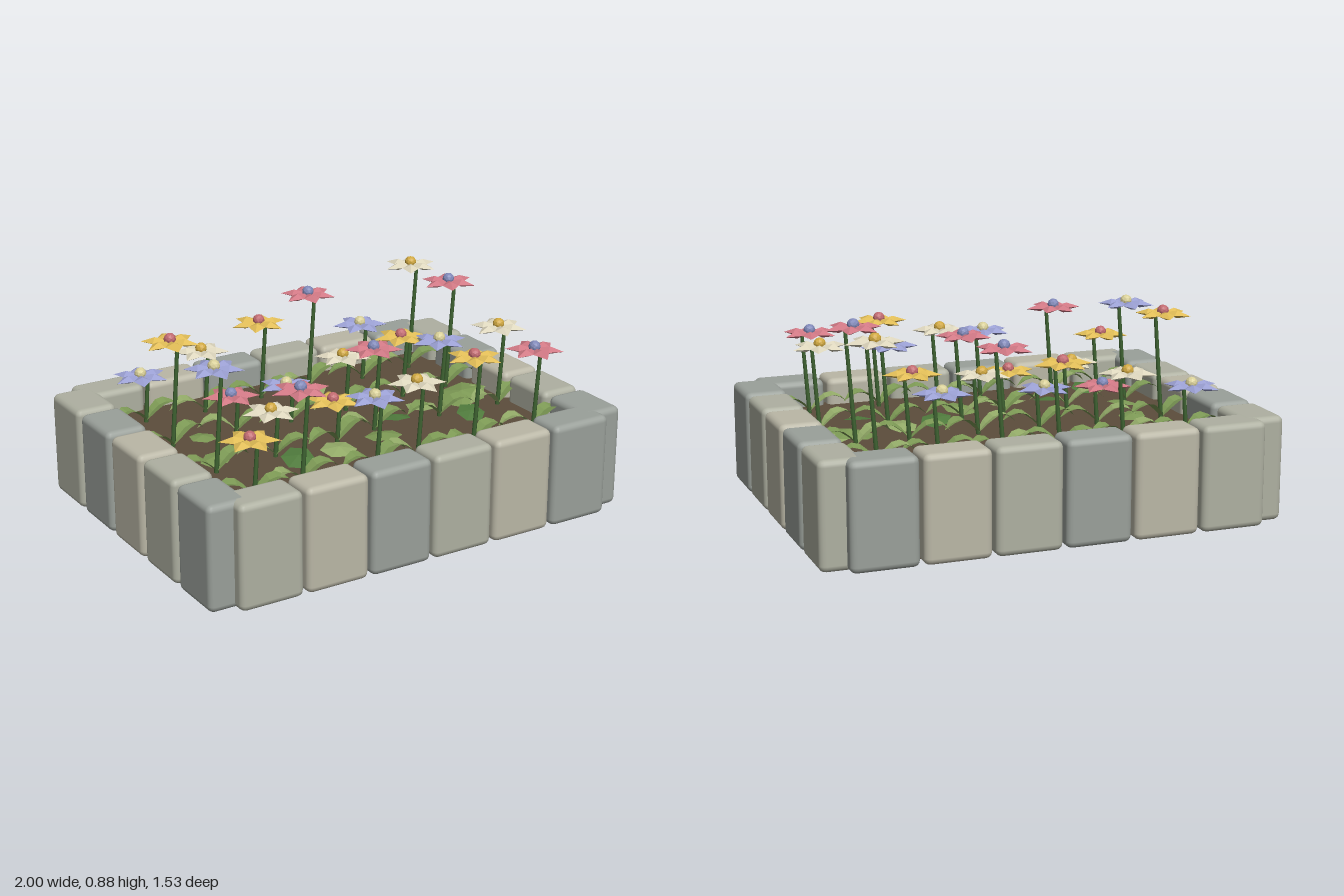
import * as THREE from 'three';
import { RoundedBoxGeometry } from 'three/addons/geometries/RoundedBoxGeometry.js';
import { mergeGeometries } from 'three/addons/utils/BufferGeometryUtils.js';

const mat = (color, opts = {}) => new THREE.MeshStandardMaterial({ color, ...opts });
const flat = (color) => mat(color, { flatShading: true });
const SOIL_TOP = 0.34;

// Flowers: [x, z, petal height], row by row from the back
const ROWS = [
  { colors: 'bwypbw', spots: [[-0.69, -0.46, 0.555], [-0.41, -0.43, 0.625], [-0.11, -0.45, 0.695], [0.15, -0.46, 0.78], [0.4, -0.42, 0.605], [0.68, -0.43, 0.84]] },
  { colors: 'ypbwyp', spots: [[-0.7, -0.15, 0.805], [-0.42, -0.15, 0.51], [-0.16, -0.13, 0.515], [0.12, -0.12, 0.595], [0.43, -0.13, 0.625], [0.68, -0.13, 0.84]] },
  { colors: 'bwypbw', spots: [[-0.68, 0.19, 0.79], [-0.41, 0.17, 0.545], [-0.11, 0.17, 0.53], [0.11, 0.14, 0.71], [0.44, 0.15, 0.69], [0.74, 0.17, 0.705]] },
  { colors: 'ypbwyp', spots: [[-0.69, 0.49, 0.59], [-0.44, 0.46, 0.74], [-0.11, 0.49, 0.65], [0.1, 0.48, 0.67], [0.38, 0.49, 0.73], [0.7, 0.48, 0.7]] },
];

// Broad ground leaves: [x, z, size, turn]
const BROAD = [
  [-0.63, 0.1, 0.075, 0.3], [-0.34, 0.27, 0.085, 1], [-0.15, 0.28, 0.085, 0.2], [0.09, 0.25, 0.085, 2],
  [0.25, 0.1, 0.08, 0.7], [0.42, 0.05, 0.08, 1.6], [0.66, 0.02, 0.13, 0.5], [0.56, 0.23, 0.075, 1.2],
  [0.12, -0.37, 0.07, 0.4], [-0.57, -0.13, 0.07, 0.9], [-0.58, 0.42, 0.07, 1.4], [0.74, -0.02, 0.07, 2.2],
];

// Arched leaf along +x, folded along its midrib
function leafGeometry(length, width, arch) {
  const pos = [], index = [], n = 5;
  for (let i = 0; i <= n; i++) {
    const t = i / n;
    const w = width * Math.pow(Math.sin(Math.PI * (0.08 + 0.92 * t)), 0.8);
    const y = arch * Math.sin(Math.PI * 0.85 * t);
    for (const s of [-1, 0, 1]) pos.push(length * t, y + (s ? 0.25 * w : 0), s * w);
  }
  for (let i = 0; i < n; i++) {
    for (let j = 0; j < 2; j++) {
      const a = i * 3 + j, b = a + 3;
      index.push(a, a + 1, b, a + 1, b + 1, b);
    }
  }
  const g = new THREE.BufferGeometry();
  g.setAttribute('position', new THREE.Float32BufferAttribute(pos, 3));
  g.setIndex(index);
  g.computeVertexNormals();
  return g;
}

// Six ridged petals around the centre
function petalGeometry() {
  const petals = [];
  for (let k = 0; k < 6; k++) {
    const p = new THREE.OctahedronGeometry(1).scale(0.062, 0.017, 0.037);
    p.rotateZ(-0.08).translate(0.063, 0, 0).rotateY(k * Math.PI / 3);
    petals.push(p);
  }
  return mergeGeometries(petals);
}

export function createModel() {
  const model = new THREE.Group();
  const add = (parent, name, geo, material, x = 0, y = 0, z = 0) => {
    const m = new THREE.Mesh(geo, material);
    m.name = name;
    m.position.set(x, y, z);
    parent.add(m);
    return m;
  };
  const group = (name, parent = model) => {
    const g = new THREE.Group();
    g.name = name;
    parent.add(g);
    return g;
  };

  // Soil bed
  add(model, 'soil', new THREE.BoxGeometry(1.75, SOIL_TOP, 1.29), mat(0x5c4d3c), 0, SOIL_TOP / 2, 0);

  // Stone border
  const border = group('stoneBorder');
  const stones = [0xaeb0a1, 0xbab7a6, 0x9aa09a].map((c) => mat(c));
  const longStone = new RoundedBoxGeometry(0.284, 0.45, 0.172, 2, 0.028);
  const sideStone = new RoundedBoxGeometry(0.186, 0.45, 0.266, 2, 0.028);
  for (const s of [-1, 1]) {
    for (let i = 0; i < 6; i++) {
      add(border, s > 0 ? 'frontStone' : 'backStone', longStone, stones[i % 3], (i - 2.5) * 0.299, 0.231, s * 0.679);
    }
    for (let i = 0; i < 5; i++) {
      add(border, s > 0 ? 'leftStone' : 'rightStone', sideStone, stones[(2 * i) % 3], s * 0.905, 0.232, (i - 2) * 0.289);
    }
  }

  // Flowers
  const petalMats = { b: flat(0x9a9fd2), w: flat(0xddd6bd), y: flat(0xe0bc56), p: flat(0xd07884) };
  const centreMats = { b: flat(0xd8cf98), w: flat(0xd0a840), y: flat(0xc06a70), p: flat(0x8088b8) };
  const leafMats = [0x7d9a55, 0x4f7a3c, 0x93ab68].map((c) => mat(c, { flatShading: true, side: THREE.DoubleSide }));
  const stemMat = mat(0x3f6432);
  const petals = petalGeometry();
  const centre = new THREE.IcosahedronGeometry(0.026, 1);
  const leaf = leafGeometry(0.17, 0.042, 0.065);
  const beds = group('flowers');
  ROWS.forEach(({ colors, spots }, r) => spots.forEach(([x, z, h], c) => {
    const n = r * 6 + c, kind = colors[c];
    const flower = group('flower', beds);

    // Leaning stem
    const foot = new THREE.Vector3(x + 0.035 - 0.08 * (h - SOIL_TOP), SOIL_TOP - 0.02, z);
    const top = new THREE.Vector3(x + 0.035, h, z);
    const dir = top.clone().sub(foot);
    const stem = add(flower, 'stem', new THREE.CylinderGeometry(0.008, 0.01, dir.length(), 6), stemMat);
    stem.position.copy(foot).add(top).multiplyScalar(0.5);
    stem.quaternion.setFromUnitVectors(new THREE.Vector3(0, 1, 0), dir.normalize());

    // Flower head
    const head = group('flowerHead', flower);
    head.position.set(x, h, z);
    head.rotation.y = 0.2 + n * 0.37;
    add(head, 'petals', petals, petalMats[kind]);
    add(head, 'flowerCentre', centre, centreMats[kind], 0, 0.013, 0);

    // Pair of arched leaves at the foot
    for (const side of [0, 1]) {
      const l = add(flower, 'leaf', leaf, leafMats[(n + side) % 2 ? 0 : side * 2], foot.x, SOIL_TOP + 0.01, z);
      l.rotation.y = side * Math.PI + 0.25 * Math.sin(n * 2.3 + side);
    }
  }));

  // Broad leaves resting on the soil
  const broadLeaves = group('broadLeaves');
  const broad = new THREE.ConeGeometry(1, 0.3, 6);
  BROAD.forEach(([x, z, size, turn], i) => {
    const l = add(broadLeaves, 'broadLeaf', broad, leafMats[i % 3], x, SOIL_TOP + 0.025, z);
    l.scale.set(size, size * 0.6, size * 0.85);
    l.rotation.set(0.15 * Math.sin(i), turn, 0.15 * Math.cos(i));
  });

  return model;
}
